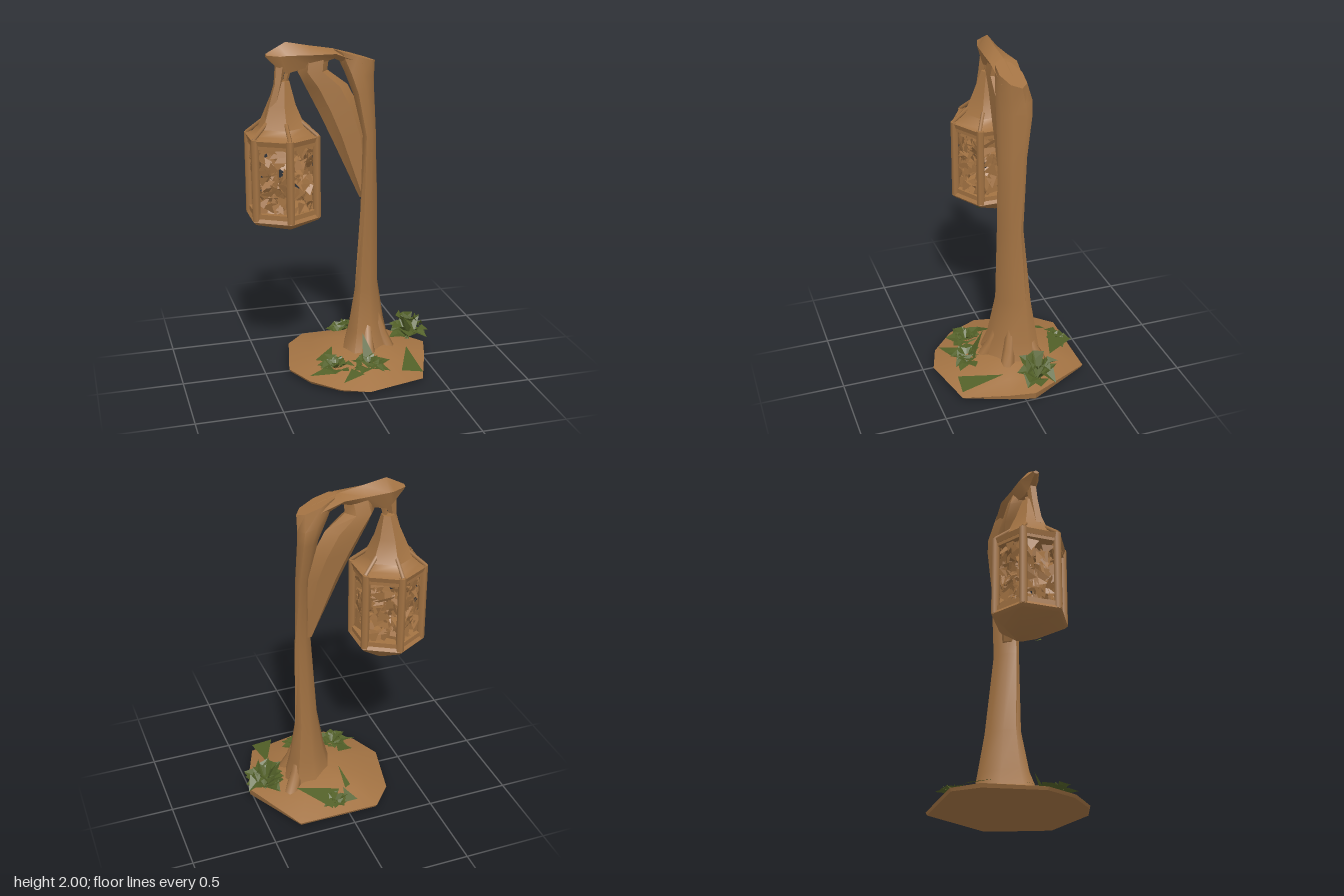
import * as THREE from 'three';
import { toCreasedNormals } from 'three/addons/utils/BufferGeometryUtils.js';

const wood = new THREE.MeshStandardMaterial({ color: 0xa37343, side: THREE.DoubleSide });
wood.name = 'wood brown';
const green = new THREE.MeshStandardMaterial({ color: 0x526028, side: THREE.DoubleSide });
green.name = 'leaf green';

// Seeded random numbers
let seed = 7;
const rnd = (a = 0, b = 1) => {
  seed = (seed * 16807) % 2147483647;
  return a + (b - a) * (seed / 2147483647);
};

function part(name, geometry, material, parent) {
  const mesh = new THREE.Mesh(geometry, material);
  mesh.name = name;
  parent.add(mesh);
  return mesh;
}

// Triangles from a flat list of points
function triangles(points, crease) {
  const g = new THREE.BufferGeometry();
  g.setAttribute('position', new THREE.Float32BufferAttribute(points.flat(), 3));
  g.computeVertexNormals();
  return crease ? toCreasedNormals(g, crease) : g;
}

// Skin over a stack of rings with equal point counts, closed at both ends
function loft(rings, crease = 0.8) {
  const out = [];
  const n = rings[0].length;
  const centre = (r) => [0, 1, 2].map((k) => r.reduce((s, p) => s + p[k], 0) / n);
  const first = rings[0], last = rings[rings.length - 1];
  const c0 = centre(first), c1 = centre(last);
  for (let i = 0; i < n; i++) {
    const j = (i + 1) % n;
    for (let k = 0; k < rings.length - 1; k++) {
      const a = rings[k], b = rings[k + 1];
      out.push(a[i], b[i], a[j], a[j], b[i], b[j]);
    }
    out.push(c0, first[i], first[j], c1, last[j], last[i]);
  }
  return triangles(out, crease);
}

// Oval ring from [y, xMin, xMax, zMin, zMax, skew, drop]
// skew stretches it along the +x -z diagonal, drop lowers its +x side
function oval([y, x0, x1, z0, z1, skew = 0, drop = 0], n = 8) {
  return Array.from({ length: n }, (_, i) => {
    const a = (i / n) * Math.PI * 2, c = Math.cos(a);
    return [(x0 + x1) / 2 + c * (x1 - x0) / 2, y - drop * c, (z0 + z1) / 2 + Math.sin(a - skew) * (z1 - z0) / 2];
  });
}

// Upright ring across the arm from [x, top, bottom, zMin, zMax]
function armRing([x, t, b, z0, z1]) {
  const m = (z0 + z1) / 2, w = (z1 - z0) / 2, s = b + (t - b) * 0.6;
  return [[x, t, m], [x, s, z1], [x, b, m + w * 0.5], [x, b, m - w * 0.5], [x, s, z0]];
}

// Tuft of folded pointed leaves: spreading outer leaves and upright inner ones
function tuft(name, x, y, z, radius, height, count, parent) {
  const out = [];
  for (let i = 0; i < count; i++) {
    const inner = i % 3 === 2;
    const a = i * 2.4 + rnd(-0.3, 0.3);
    const r = radius * (inner ? rnd(0.45, 0.65) : rnd(0.8, 1.1)), w = radius * rnd(0.28, 0.45);
    const lift = height * (inner ? rnd(0.8, 1) : rnd(0.3, 0.9));
    const at = (d, side, h) => [
      x + Math.cos(a) * d - Math.sin(a) * side, y + h, z + Math.sin(a) * d + Math.cos(a) * side];
    const root = at(-0.1 * radius, 0, 0), mid = at(r * 0.5, 0, lift * 0.75), tip = at(r, 0, lift * rnd(0.3, 1));
    const left = at(r * 0.5, w, lift), right = at(r * 0.55, -w, lift * 0.9);
    out.push(root, left, mid, mid, left, tip, root, mid, right, mid, tip, right);
  }
  part(name, triangles(out), green, parent);
}

function buildLantern(parent) {
  const lantern = new THREE.Group();
  lantern.name = 'lantern';
  lantern.position.set(-0.363, 0, -0.05);
  parent.add(lantern);
  const R = 0.205;
  const hex = (y, r, dx = 0, dz = 0) => Array.from({ length: 6 }, (_, i) => {
    const a = (i / 6) * Math.PI * 2 + Math.PI / 6;
    return [Math.cos(a) * r + dx, y, Math.sin(a) * r + dz];
  });

  // Roof and floor
  part('roof', loft([hex(1.44, 0.215), hex(1.47, 0.226), hex(1.485, 0.18), hex(1.52, 0.142),
    hex(1.65, 0.085), hex(1.78, 0.038, 0.012)], 0.9), wood, lantern);
  part('floor', loft([hex(0.888, 0.03, 0.045, -0.04), hex(0.975, 0.212), hex(0.992, 0.228), hex(1.03, 0.2)], 0.6), wood, lantern);
  part('floorLeaf', triangles([[0.14, 0.94, 0.08], [0.1, 0.935, 0.11], [0.15, 0.965, 0.12]]), green, lantern);

  // Roof ribs run from the rim to the cone
  const rim = hex(1.475, 0.215), cone = hex(1.56, 0.108);
  for (let i = 0; i < 6; i++) {
    const path = new THREE.LineCurve3(new THREE.Vector3(...rim[i]), new THREE.Vector3(...cone[i]));
    part('roofRib', new THREE.TubeGeometry(path, 1, 0.012, 5), wood, lantern);
  }

  // Corner posts and openwork panels
  for (let i = 0; i < 6; i++) {
    const a = (i / 6) * Math.PI * 2 + Math.PI / 6;
    const post = part('post', new THREE.CylinderGeometry(0.024, 0.024, 0.48, 6), wood, lantern);
    post.position.set(Math.cos(a) * R, 1.235, Math.sin(a) * R);

    const side = new THREE.Group();
    side.name = 'panel';
    side.rotation.y = (i / 6) * Math.PI * 2 + Math.PI / 2;
    lantern.add(side);
    for (const y of [1.02, 1.44]) {
      part('rail', new THREE.BoxGeometry(0.2, 0.04, 0.03), wood, side).position.set(0, y, 0.17);
    }
    // Torn lattice of crossed shards
    const out = [];
    for (let k = 0; k < 52; k++) {
      const x = rnd(-0.09, 0.09), y = rnd(1.04, 1.43), turn = rnd(0, 6.28);
      for (let c = 0; c < 3; c++) {
        const t = turn + c * 2.1 + rnd(-0.5, 0.5), s = rnd(0.025, 0.07);
        out.push([THREE.MathUtils.clamp(x + Math.cos(t) * s, -0.1, 0.1), y + Math.sin(t) * s, 0.162 + rnd(-0.035, 0.018)]);
      }
    }
    part('lattice', triangles(out), wood, side);
  }
}

export function createModel() {
  seed = 7;
  const model = new THREE.Group();
  model.name = 'lanternPost';

  // Rocky earth mound with a slightly tilted underside: [x, z, rim height]
  const rim = [[0.525, -0.05, 0.065], [0.48, 0.1, 0.05], [0.38, 0.36, 0.025], [0.03, 0.44, 0.022], [-0.13, 0.385, 0.03],
    [-0.28, 0.24, 0.035], [-0.365, 0.05, 0.035], [-0.29, -0.3, 0.04], [-0.17, -0.435, 0.035], [0.32, -0.435, 0.035]];
  const ring = (s, y) => rim.map(([x, z, h]) => [0.12 + (x - 0.12) * s, y ?? h, -0.03 + (z + 0.03) * s]);
  const under = (s) => ring(s, 0).map(([x, , z]) => [x, 0.014 - 0.03 * x, z]);
  part('mound', loft([under(0.5), under(0.86), ring(0.98, 0.018), ring(1), ring(0.68, 0.085), ring(0.42, 0.125),
    ring(0.2, 0.14)], 0.5), wood, model);

  // Blade-like trunk flares at the foot and leans into the arm at the top
  part('trunk', loft([
    [0.05, -0.07, 0.33, -0.23, 0.19, 0.3], [0.11, -0.03, 0.3, -0.2, 0.155, 0.35], [0.25, 0.01, 0.27, -0.17, 0.1, 0.45],
    [0.5, 0.055, 0.23, -0.13, 0.055, 0.6], [1.0, 0.085, 0.215, -0.08, 0.05, 0.7], [1.45, 0.1, 0.205, -0.1, 0.05, 0.65],
    [1.7, 0.045, 0.2, -0.135, 0.045, 0.55], [1.8, 0, 0.197, -0.14, 0.04, 0.4, 0.02],
    [1.91, -0.06, 0.195, -0.115, 0.025, 0.3, 0.04]].map((r) => oval(r)), 1), wood, model);

  // Buttress roots leaning against the foot
  for (const [x, z] of [[0.0, 0.08], [0.1, 0.17], [0.28, 0.05], [0.3, -0.19]]) {
    part('root', loft([[0.05, x - 0.05, x + 0.05, z - 0.05, z + 0.05],
      [0.2, x * 0.6 + 0.02, x * 0.6 + 0.09, z * 0.6 - 0.05, z * 0.6 + 0.02],
      [0.52, 0.13, 0.16, -0.06, -0.03]].map((r) => oval(r, 7)), 1.2), wood, model);
  }

  // Crooked arm and its beak-like tip
  part('arm', loft([[0.1, 1.9, 1.82, -0.115, 0.02], [-0.06, 1.952, 1.9, -0.125, 0.03], [-0.2, 1.975, 1.86, -0.11, 0.02],
    [-0.335, 2.0, 1.825, -0.1, 0.01], [-0.375, 1.98, 1.845, -0.085, 0.005], [-0.45, 1.94, 1.92, -0.055, -0.02]].map(armRing), 0.6), wood, model);

  // Diagonal brace, broad under the arm and narrow at the trunk
  part('brace', loft([[1.07, 0.09, 0.15, -0.05, 0.02], [1.45, -0.08, 0.14, -0.1, 0.025], [1.6, -0.15, 0.1, -0.125, 0.025],
    [1.74, -0.22, 0.03, -0.14, 0.02], [1.83, -0.265, -0.09, -0.13, 0.015], [1.92, -0.25, -0.08, -0.1, 0]].map((r) => oval(r, 6)), 0.7), wood, model);

  // Hanger straps between arm tip and lantern
  part('hanger', loft([[1.58, -0.47, -0.4, -0.06, 0.01], [1.77, -0.41, -0.36, -0.06, 0],
    [1.9, -0.4, -0.33, -0.07, -0.01]].map((r) => oval(r, 5))), wood, model);
  part('hanger', loft([[1.72, -0.36, -0.32, -0.07, -0.03], [1.79, -0.35, -0.32, -0.06, -0.03],
    [1.88, -0.33, -0.29, -0.07, -0.02]].map((r) => oval(r, 4))), wood, model);

  buildLantern(model);

  // Leafy tufts
  tuft('sideTuft', 0.43, 0.08, -0.09, 0.14, 0.18, 18, model);
  tuft('frontTuft', 0.08, 0.07, 0.24, 0.125, 0.085, 18, model);
  tuft('frontLeftTuft', -0.11, 0.06, 0.19, 0.115, 0.085, 18, model);
  tuft('backTuft', 0.07, 0.05, -0.36, 0.09, 0.09, 15, model);

  // Single large leaves lying on the mound and leaning on the trunk
  part('largeLeaves', triangles([
    [0.36, 0.12, 0.1], [0.25, 0.09, 0.35], [0.38, 0.07, 0.36],
    [0.03, 0.125, -0.31], [0.12, 0.1, -0.44], [0.28, 0.14, -0.23],
    [-0.06, 0.08, -0.39], [0.02, 0.08, -0.39], [0.0, 0.12, -0.3],
    [-0.05, 0.12, -0.29], [-0.01, 0.12, -0.31], [-0.03, 0.16, -0.14],
    [0.07, 0.26, 0.13], [0.05, 0.1, 0.22], [0.14, 0.09, 0.22],
    [-0.09, 0.14, 0.02], [-0.21, 0.09, 0.08], [-0.13, 0.11, 0.17],
    [-0.16, 0.09, 0.18], [-0.28, 0.06, 0.22], [-0.12, 0.08, 0.27],
    [-0.03, 0.09, 0.25], [-0.11, 0.065, 0.37], [0.03, 0.08, 0.32]]), green, model);
  return model;
}
